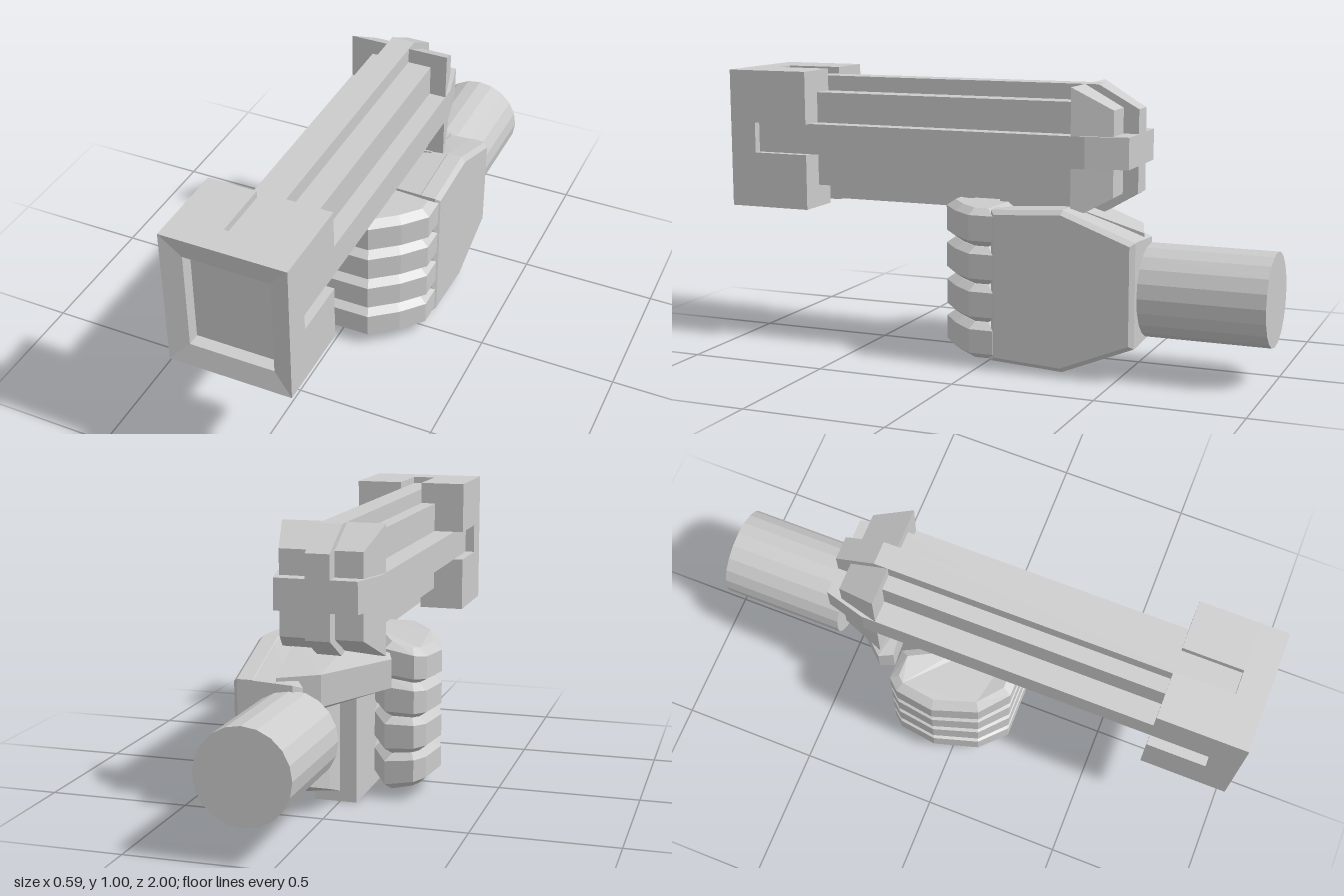
import * as THREE from 'three';
import { ConvexGeometry } from 'three/addons/geometries/ConvexGeometry.js';

const material = new THREE.MeshStandardMaterial({ color: 0xcccccc, flatShading: true });
const CX = 0.0175, CY = 0.755; // barrel axis

const toShape = (pts) => new THREE.Shape(pts.map(([a, b]) => new THREE.Vector2(a, b)));
const extrude = (shape, depth, options = {}) =>
  new THREE.ExtrudeGeometry(shape, { depth, bevelEnabled: false, ...options });
const rect = (x0, x1, y0, y1) => [[x0, y0], [x1, y0], [x1, y1], [x0, y1]];

// Box given by its limits
function block(x0, x1, y0, y1, z0, z1) {
  return new THREE.BoxGeometry(x1 - x0, y1 - y0, z1 - z0)
    .translate((x0 + x1) / 2, (y0 + y1) / 2, (z0 + z1) / 2);
}

// Outline in (z, y), spanning x0..x1
const sideSlab = (pts, x0, x1, options) =>
  extrude(toShape(pts), x1 - x0, options).rotateY(-Math.PI / 2).translate(x1, 0, 0);

// Outline in (x, z), spanning y0..y1
const topSlab = (pts, y0, y1, options) =>
  extrude(toShape(pts), y1 - y0, options).rotateX(Math.PI / 2).translate(0, y1, 0);

// Move every vertex by a rule
function reshape(geometry, rule) {
  const p = geometry.attributes.position, v = new THREE.Vector3();
  for (let i = 0; i < p.count; i++) {
    v.fromBufferAttribute(p, i);
    rule(v);
    p.setXYZ(i, v.x, v.y, v.z);
  }
  geometry.computeVertexNormals();
  return geometry;
}

const hull = (pts) => new ConvexGeometry(pts.map((p) => new THREE.Vector3(...p)));

export function createModel() {
  const model = new THREE.Group();
  model.name = 'handWithPistol';
  const add = (parent, name, geometry) => {
    const mesh = new THREE.Mesh(geometry, material);
    mesh.name = name;
    parent.add(mesh);
    return mesh;
  };

  const pistol = new THREE.Group();
  pistol.name = 'pistol';
  const hand = new THREE.Group();
  hand.name = 'hand';
  model.add(pistol, hand);

  // Barrel: square core with a rail down the middle of each side
  add(pistol, 'barrelCore', block(-0.085, 0.14, 0.585, 0.925, -0.4, 0.9));
  add(pistol, 'verticalRail', sideSlab(
    [[0.9, 0.525], [0.9, 0.98], [-0.36, 0.98], [-0.505, 0.9], [-0.505, 0.61], [-0.36, 0.525]],
    -0.03, 0.055));
  add(pistol, 'horizontalRail', topSlab(
    [[-0.165, 0.9], [-0.165, -0.36], [-0.125, -0.505], [0.165, -0.505], [0.2, -0.36], [0.2, 0.9]],
    0.705, 0.815));

  // Tapered blocks at the rear, between the rails
  add(pistol, 'rearBlock', reshape(block(-0.165, 0.2, 0.53, 0.98, -0.45, -0.31), (v) => {
    if (v.z < -0.4) {
      v.x = CX + (v.x - CX) * 0.8;
      v.y = CY + (v.y - CY) * 0.66;
    }
  }));

  // Muzzle: the rear is notched for the rails, the front is a dished frame
  const [mx0, mx1, my0, my1] = [-0.2, 0.23, 0.505, 1.005];
  add(pistol, 'muzzleRear', extrude(toShape([
    [mx0, my0], [-0.03, my0], [-0.03, 0.55], [0.055, 0.55], [0.055, my0], [mx1, my0],
    [mx1, 0.705], [0.18, 0.705], [0.18, 0.815], [mx1, 0.815], [mx1, my1],
    [0.055, my1], [0.055, 0.96], [-0.03, 0.96], [-0.03, my1], [mx0, my1],
    [mx0, 0.815], [-0.145, 0.815], [-0.145, 0.705], [mx0, 0.705],
  ]), 0.21).translate(0, 0, 0.69));
  add(pistol, 'muzzlePlate', block(mx0, mx1, my0, my1, 0.9, 0.94));
  const frame = toShape(rect(mx0, mx1, my0, my1));
  frame.holes.push(new THREE.Path(toShape(rect(-0.13, 0.165, 0.58, 0.93)).getPoints().reverse()));
  add(pistol, 'muzzleFrame', reshape(extrude(frame, 0.06).translate(0, 0, 0.94), (v) => {
    if (v.z > 0.99 && v.x > -0.14 && v.x < 0.17) v.z -= 0.015;
  }));

  // Grip, held by the fist
  add(pistol, 'grip', block(-0.06, 0.095, 0, 0.6, -0.305, -0.01));

  // Four curled fingers, getting thinner towards their tips
  const fingerPath = [[0.285, -0.06], [0.285, 0.03], [0.215, 0.11], [0.12, 0.185], [-0.155, 0.185],
    [-0.25, 0.1], [-0.3, -0.06], [-0.28, -0.2], [-0.245, -0.24], [-0.14, -0.235], [-0.06, -0.08]];
  [[0.03, 0.158], [0.16, 0.292], [0.294, 0.425], [0.427, 0.56]].forEach(([y0, y1], i) => {
    const bevel = 0.022;
    const g = topSlab(fingerPath, y0 + bevel, y1 - bevel, {
      bevelEnabled: true, bevelSegments: 1, bevelThickness: bevel, bevelSize: 0.03, bevelOffset: -0.03,
    });
    add(hand, 'finger' + (i + 1), reshape(g, (v) => {
      const t = THREE.MathUtils.clamp((-0.16 - v.x) / 0.14, 0, 1);
      v.y = 0.3 + (v.y - 0.3) * (1 - 0.13 * t);
    }));
  });

  // Back of the hand: slab with chamfered edges
  const backOutline = [[-0.05, 0.03], [-0.05, 0.56], [-0.31, 0.575], [-0.565, 0.48], [-0.565, 0.12], [-0.31, 0.015]];
  add(hand, 'handBack', sideSlab(backOutline, 0.22, 0.274, {
    bevelEnabled: true, bevelSegments: 1, bevelThickness: 0.016, bevelSize: 0.016, bevelOffset: -0.016,
  }));

  // Palm, narrowing towards the grip
  add(hand, 'palm', hull([
    ...backOutline.map(([z, y]) => [0.25, y, z]),
    [0.08, 0.47, -0.565], [0.08, 0.13, -0.565],
    [0.0, 0.42, -0.44], [0.0, 0.08, -0.42], [0.0, 0.04, -0.31],
    [0.0, 0.55, -0.3], [0.02, 0.54, -0.08], [0.02, 0.04, -0.08],
  ]));

  // Thumb, reaching round behind the grip
  add(hand, 'thumb', hull([
    [0.14, 0.49, -0.555], [0.14, 0.34, -0.555], [0.0, 0.5, -0.51], [0.0, 0.39, -0.51],
    [-0.185, 0.52, -0.31], [-0.185, 0.42, -0.31], [-0.165, 0.53, -0.26], [-0.165, 0.42, -0.26],
    [-0.03, 0.57, -0.27], [-0.03, 0.4, -0.27], [0.16, 0.57, -0.3], [0.16, 0.36, -0.3],
  ]));

  // Wrist
  add(hand, 'wrist', new THREE.CylinderGeometry(0.162, 0.162, 0.46, 20)
    .rotateX(Math.PI / 2).translate(0.093, 0.288, -0.77));

  return model;
}
